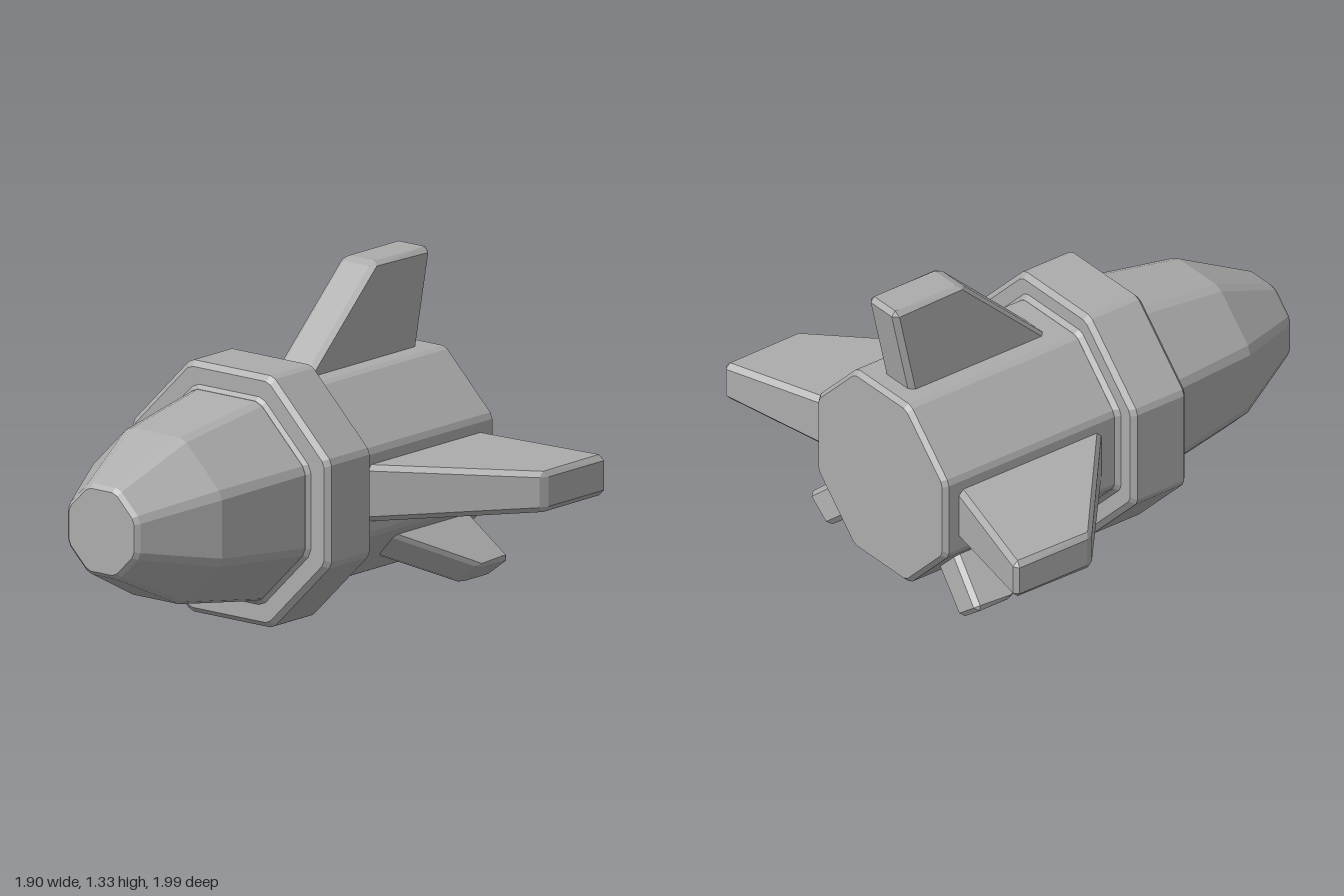
import * as THREE from 'three';
import { ConvexGeometry } from 'three/addons/geometries/ConvexGeometry.js';

const CENTRE_Y = 0.525;

export function createModel() {
  const model = new THREE.Group();
  model.name = 'rocketShip';
  const hullGrey = new THREE.MeshStandardMaterial({ color: 0xacacac });
  hullGrey.name = 'hull grey';

  function add(name, points) {
    const mesh = new THREE.Mesh(new ConvexGeometry(points), hullGrey);
    mesh.name = name;
    model.add(mesh);
  }

  // Octagonal hull with chamfered corners; sections are [z, apothem, chamfer]
  function octagonHull(name, sections) {
    const points = [];
    for (const [z, apothem, chamfer] of sections) {
      const half = apothem * Math.tan(Math.PI / 8) - chamfer;
      for (let i = 0; i < 8; i++) {
        const a = i * Math.PI / 4;
        for (const s of [-half, half]) {
          points.push(new THREE.Vector3(
            Math.cos(a) * apothem - Math.sin(a) * s,
            CENTRE_Y + Math.sin(a) * apothem + Math.cos(a) * s,
            z));
        }
      }
    }
    add(name, points);
  }

  // Six-sided block with bevelled edges; corner index bits: 1 = tip, 2 = upper, 4 = rear
  function bevelledBlock(name, corners, bevel) {
    const v = corners.map(c => new THREE.Vector3(...c));
    const points = [];
    for (let i = 0; i < 8; i++) {
      const step = [1, 2, 4].map(bit => v[i ^ bit].clone().sub(v[i]).normalize().multiplyScalar(bevel));
      for (let skip = 0; skip < 3; skip++) {
        const p = v[i].clone();
        step.forEach((d, k) => { if (k !== skip) p.add(d); });
        points.push(p);
      }
    }
    add(name, points);
  }

  // Fuselage, collar and nose
  octagonHull('body', [[-0.94, 0.4, 0.015], [-0.92, 0.418, 0.015], [0.1, 0.418, 0.015]]);
  octagonHull('collar', [[-0.065, 0.495, 0.015], [-0.045, 0.517, 0.015], [0.19, 0.517, 0.015], [0.21, 0.495, 0.015]]);
  octagonHull('nose', [[0.1, 0.428, 0.02], [0.21, 0.412, 0.02], [0.66, 0.343, 0.022], [0.98, 0.188, 0.018], [0.997, 0.17, 0.015]]);

  // Small fillets where the collar meets the body and nose
  octagonHull('rearFillet', [[-0.085, 0.419, 0.015], [-0.06, 0.44, 0.015]]);
  octagonHull('frontFillet', [[0.205, 0.432, 0.02], [0.225, 0.411, 0.02]]);

  // Upright tail fin
  bevelledBlock('tailFin', [
    [-0.09, 0.88, -0.107], [-0.09, 1.335, -0.59], [0.09, 0.88, -0.107], [0.09, 1.335, -0.59],
    [-0.09, 0.88, -0.84], [-0.09, 1.335, -0.94], [0.09, 0.88, -0.84], [0.09, 1.335, -0.94],
  ], 0.022);

  // Mirrored wings and lower fins
  for (const [side, s] of [['left', 1], ['right', -1]]) {
    bevelledBlock(side + 'Wing', [
      [s * 0.36, 0.405, -0.1], [s * 0.95, 0.445, -0.615], [s * 0.36, 0.645, -0.1], [s * 0.95, 0.61, -0.615],
      [s * 0.36, 0.405, -0.855], [s * 0.95, 0.445, -1.0], [s * 0.36, 0.645, -0.855], [s * 0.95, 0.61, -1.0],
    ], 0.022);
    bevelledBlock(side + 'LowerFin', [
      [s * 0.2, 0.24, -0.3], [s * 0.43, 0.05, -0.7], [s * 0.33, 0.34, -0.3], [s * 0.555, 0.145, -0.7],
      [s * 0.2, 0.24, -0.84], [s * 0.43, 0.05, -0.88], [s * 0.33, 0.34, -0.84], [s * 0.555, 0.145, -0.88],
    ], 0.02);
  }

  return model;
}
